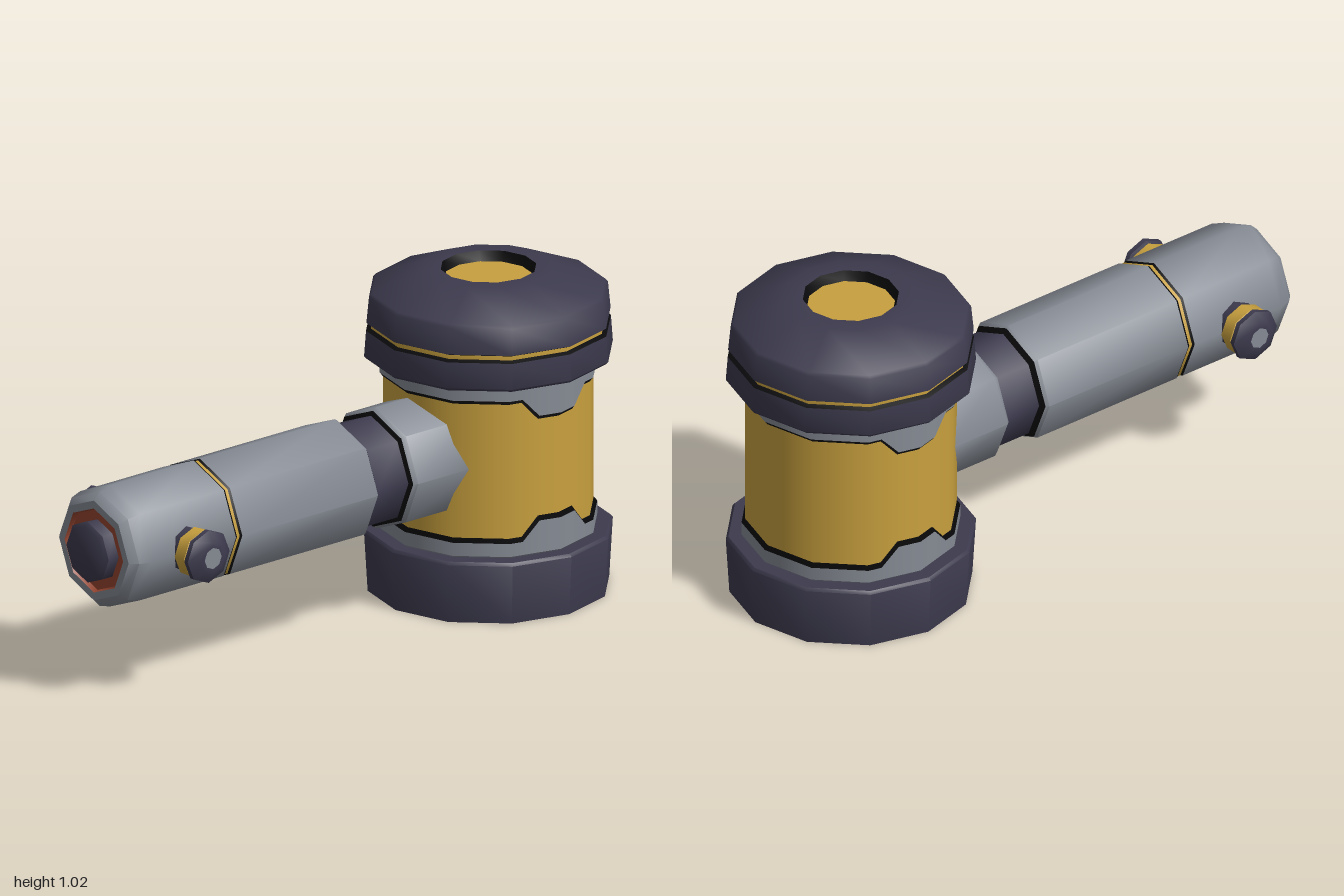
import * as THREE from 'three';
import { toCreasedNormals } from 'three/addons/utils/BufferGeometryUtils.js';

const mat = (color) => new THREE.MeshStandardMaterial({ color, side: THREE.DoubleSide });
const DARK = mat(0x3c3a4d), GOLD = mat(0xc8a03e), GREY = mat(0x858a93);
const BLACK = mat(0x0a0a0c), RED = mat(0x94442f);
const SIDES = 12;

function add(parent, name, geometry, material) {
  const mesh = new THREE.Mesh(geometry, material);
  mesh.name = name;
  parent.add(mesh);
  return mesh;
}

// Turned part from [radius, height] pairs, listed bottom to top
function turned(parent, name, profile, material, sides) {
  const points = profile.map(([r, y]) => new THREE.Vector2(r, y));
  const geo = toCreasedNormals(new THREE.LatheGeometry(points, sides), 0.82);
  return add(parent, name, geo, material);
}

// Height of the collar edge around the head: a raised tab at the front and back
function tabEdge(angle) {
  const deg = THREE.MathUtils.radToDeg(Math.asin(Math.min(1, Math.abs(Math.sin(angle)))));
  return 0.25 + 0.06 * THREE.MathUtils.clamp((22.5 - deg) / 10, 0, 1);
}

// Twelve-sided band between two edges whose heights follow the angle
function band(parent, name, rLow, rHigh, low, high, material) {
  const geo = new THREE.CylinderGeometry(1, 1, 1, 144, 1, true);
  const pos = geo.attributes.position, nor = geo.attributes.normal;
  const step = (Math.PI * 2) / SIDES;
  for (let i = 0; i < pos.count; i++) {
    const a = Math.atan2(pos.getX(i), pos.getZ(i));
    const local = (((a % step) + step) % step) - step / 2;
    const top = pos.getY(i) > 0;
    const r = (top ? rHigh : rLow) * Math.cos(step / 2) / Math.cos(local);
    pos.setXYZ(i, r * Math.sin(a), top ? high(a) : low(a), r * Math.cos(a));
    nor.setXYZ(i, Math.sin(a), 0, Math.cos(a));
  }
  return add(parent, name, geo, material);
}

function createHead() {
  const head = new THREE.Group();
  head.name = 'head';
  head.position.x = 0.615;
  const mid = 0.94; // twice the height of the head's middle
  const flip = (f) => (a) => mid - f(a);
  const inset = (a) => tabEdge(a) - 0.008;
  const outset = (a) => tabEdge(a) + 0.005;

  // Barrel and its two notched collars
  band(head, 'barrel', 0.324, 0.324, outset, flip(outset), GOLD);
  band(head, 'lowerCollar', 0.335, 0.335, () => 0.2, inset, GREY);
  band(head, 'lowerCollarEdge', 0.335, 0.324, inset, outset, BLACK);
  band(head, 'upperCollar', 0.335, 0.335, flip(inset), () => 0.74, GREY);
  band(head, 'upperCollarEdge', 0.324, 0.335, flip(outset), flip(inset), BLACK);
  turned(head, 'lowerCollarLip', [[0.335, 0.2], [0.328, 0.193]], GREY, SIDES);
  turned(head, 'upperCollarLip', [[0.328, 0.747], [0.335, 0.74]], GREY, SIDES);

  // Open lower striking ring
  turned(head, 'lowerRing', [[0.372, 0], [0.383, 0.186], [0.375, 0.195], [0.328, 0.195]], DARK, SIDES);

  // Upper ring, groove and bevelled cap
  turned(head, 'upperRing', [[0.328, 0.745], [0.375, 0.745], [0.383, 0.754], [0.377, 0.835]], DARK, SIDES);
  turned(head, 'grooveLowerEdge', [[0.377, 0.835], [0.362, 0.841]], BLACK, SIDES);
  turned(head, 'grooveBand', [[0.362, 0.841], [0.362, 0.854]], GOLD, SIDES);
  turned(head, 'grooveUpperEdge', [[0.362, 0.854], [0.376, 0.86]], BLACK, SIDES);
  turned(head, 'cap', [[0.376, 0.86], [0.368, 0.943], [0.36, 0.952], [0.2, 1.016], [0.147, 1.016]], DARK, SIDES);
  turned(head, 'capHole', [[0.147, 1.016], [0.135, 0.985]], BLACK, SIDES);
  turned(head, 'capDisc', [[0.135, 0.985], [0, 0.985]], GOLD, SIDES);
  return head;
}

function createHandle() {
  const handle = new THREE.Group();
  handle.name = 'handle';
  handle.position.y = 0.475;
  handle.rotation.z = -Math.PI / 2; // turned height runs along x
  const piece = (name, profile, material) => turned(handle, name, profile, material, 8);

  // End cap with a recessed button
  piece('endButton', [[0, -1], [0.085, -1], [0.097, -0.99], [0.097, -0.945]], DARK);
  piece('endRecess', [[0.097, -0.95], [0.13, -0.95], [0.135, -0.965]], RED);
  piece('pommel', [[0.135, -0.965], [0.16, -0.965], [0.183, -0.942], [0.195, -0.9], [0.195, -0.565]], GREY);

  // Seam with a thin inlay
  piece('seamEdge', [[0.195, -0.565], [0.191, -0.558]], BLACK);
  piece('seamInlay', [[0.191, -0.558], [0.191, -0.547]], GOLD);
  piece('seamEdge', [[0.191, -0.547], [0.195, -0.54]], BLACK);

  // Grip, neck and the socket that enters the barrel
  piece('grip', [[0.195, -0.54], [0.195, 0], [0.188, 0.01]], GREY);
  piece('neckEdge', [[0.188, 0.01], [0.172, 0.022]], BLACK);
  piece('neck', [[0.172, 0.022], [0.172, 0.145]], DARK);
  piece('neckEdge', [[0.172, 0.145], [0.186, 0.152]], BLACK);
  piece('socket', [[0.186, 0.152], [0.195, 0.165], [0.195, 0.4]], GREY);
  return handle;
}

// Side peg, its axis along z
function createPeg(side) {
  const peg = new THREE.Group();
  peg.name = side > 0 ? 'frontPeg' : 'backPeg';
  peg.position.set(-0.74, 0.475, 0);
  peg.rotation.x = side * Math.PI / 2;
  turned(peg, 'pegBase', [[0.07, 0.16], [0.07, 0.198]], DARK, 8);
  turned(peg, 'pegBand', [[0.07, 0.198], [0.078, 0.203], [0.078, 0.245], [0.07, 0.25]], GOLD, 8);
  turned(peg, 'pegCap', [[0.07, 0.248], [0.084, 0.254], [0.084, 0.27], [0.05, 0.291], [0.034, 0.291]], DARK, 8);
  turned(peg, 'pegCentre', [[0.034, 0.291], [0, 0.291]], GREY, 8);
  return peg;
}

export function createModel() {
  const model = new THREE.Group();
  model.name = 'mallet';
  model.add(createHead(), createHandle(), createPeg(1), createPeg(-1));
  return model;
}
